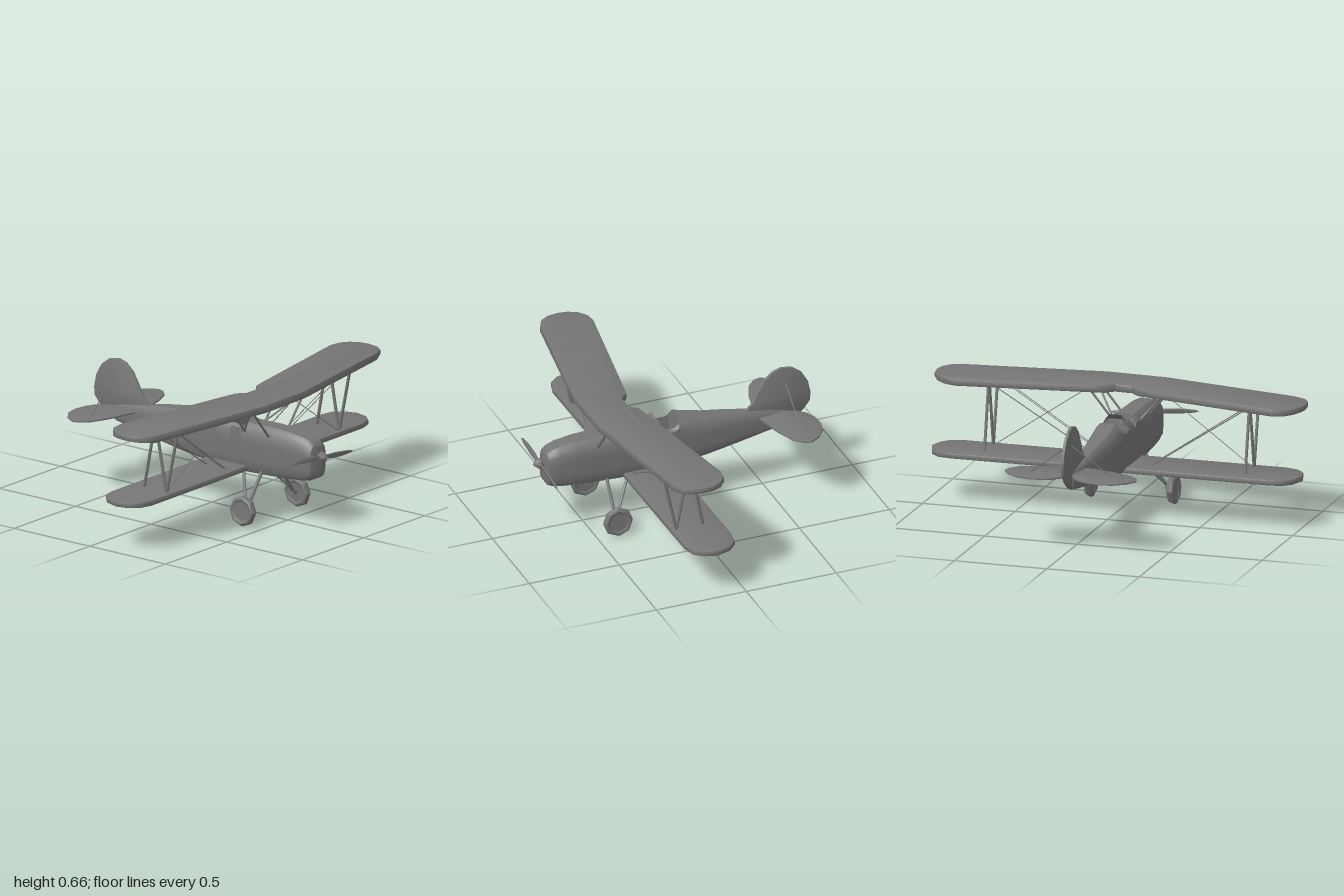
import * as THREE from 'three';
import { toCreasedNormals } from 'three/addons/utils/BufferGeometryUtils.js';

const mat = new THREE.MeshStandardMaterial({ color: 0x757575, side: THREE.DoubleSide });
const CX = -0.008; // centre line of the body

function add(parent, name, geometry) {
  const mesh = new THREE.Mesh(geometry, mat);
  mesh.name = name;
  parent.add(mesh);
  return mesh;
}

// Round bar between two points
function rod(parent, name, a, b, r) {
  const p = new THREE.Vector3(...a), q = new THREE.Vector3(...b);
  const mesh = add(parent, name, new THREE.CylinderGeometry(r, r, p.distanceTo(q), 8));
  mesh.position.copy(p).lerp(q, 0.5);
  mesh.quaternion.setFromUnitVectors(new THREE.Vector3(0, 1, 0), q.sub(p).normalize());
}

// Slab from an outline, with a small rounded edge; spans 0..t along its depth
function slab(points, t, bevel) {
  const shape = new THREE.Shape(points.map(p => new THREE.Vector2(...p)));
  const g = new THREE.ExtrudeGeometry(shape, {
    depth: t - 2 * bevel, bevelEnabled: true, bevelThickness: bevel,
    bevelSize: bevel, bevelOffset: -bevel, bevelSegments: 2,
  });
  return toCreasedNormals(g.translate(0, 0, bevel), 0.7);
}

// Flat horizontal outline (x, z), mirrored from its right half; top face at y = 0
function mirroredSlab(half, t, bevel) {
  const other = half.map(([x, z]) => [-x, z]).reverse();
  return slab([...half, ...other], t, bevel).rotateX(Math.PI / 2);
}

function buildFuselage() {
  // z, bottom, top, half width, cockpit floor (if open)
  const stations = [
    [0.715, 0.285, 0.43, 0.045], [0.705, 0.268, 0.452, 0.062], [0.68, 0.257, 0.468, 0.071],
    [0.64, 0.25, 0.481, 0.076], [0.54, 0.242, 0.494, 0.082], [0.42, 0.236, 0.498, 0.085],
    [0.27, 0.23, 0.495, 0.086], [0.262, 0.23, 0.488, 0.086, 0.4], [0.2, 0.228, 0.488, 0.086, 0.4],
    [0.192, 0.228, 0.495, 0.086], [0.1, 0.232, 0.505, 0.085], [0.088, 0.233, 0.485, 0.085, 0.37],
    [0.06, 0.235, 0.47, 0.084, 0.37], [0.01, 0.24, 0.472, 0.082, 0.37], [-0.008, 0.242, 0.485, 0.081, 0.37],
    [-0.016, 0.243, 0.517, 0.081], [-0.1, 0.252, 0.498, 0.077], [-0.17, 0.26, 0.482, 0.072],
    [-0.3, 0.278, 0.465, 0.058], [-0.42, 0.295, 0.445, 0.043], [-0.54, 0.312, 0.425, 0.026],
    [-0.625, 0.325, 0.41, 0.012],
  ];
  const pos = [], idx = [];
  let n = 0;
  stations.forEach(([z, b, t, w, floor]) => {
    const h = t - b;
    const top = floor ? [[0.97 * w, t - 0.015], [0.78 * w, t], [0.68 * w, floor], [0.3 * w, floor]]
      : [[0.95 * w, t - 0.18 * h], [0.72 * w, t - 0.06 * h], [0.5 * w, t], [0.2 * w, t]];
    const half = [[0.5 * w, b], [0.8 * w, b + 0.05 * h], [0.96 * w, b + 0.15 * h],
      [w, b + 0.3 * h], [w, b + 0.65 * h], ...top];
    const ring = [...half, ...half.map(([x, y]) => [-x, y]).reverse()];
    n = ring.length;
    ring.forEach(([x, y]) => pos.push(x + CX, y, z));
  });
  for (let i = 0; i < stations.length - 1; i++) {
    for (let j = 0; j < n; j++) {
      const a = i * n + j, b = i * n + (j + 1) % n;
      idx.push(a, a + n, b, b, a + n, b + n);
    }
  }
  // Nose and tail caps
  const last = (stations.length - 1) * n;
  for (let j = 1; j < n - 1; j++) idx.push(0, j, j + 1, last, last + j + 1, last + j);
  const g = new THREE.BufferGeometry();
  g.setAttribute('position', new THREE.Float32BufferAttribute(pos, 3));
  g.setIndex(idx);
  return toCreasedNormals(g, 0.6);
}

function buildWindscreen() {
  // Three angled panes around the front of the cockpit
  const base = [[-0.066, 0.475, 0.078], [-0.045, 0.495, 0.15], [0.045, 0.495, 0.15], [0.066, 0.475, 0.078]];
  const rim = [[-0.048, 0.513, 0.088], [-0.032, 0.534, 0.104], [0.032, 0.534, 0.104], [0.048, 0.513, 0.088]];
  const pos = [];
  for (let i = 0; i < 3; i++) {
    pos.push(...base[i], ...base[i + 1], ...rim[i + 1], ...base[i], ...rim[i + 1], ...rim[i]);
  }
  const g = new THREE.BufferGeometry();
  g.setAttribute('position', new THREE.Float32BufferAttribute(pos, 3));
  g.computeVertexNormals();
  return g.translate(CX, 0, 0);
}

function buildUpperWing() {
  const g = mirroredSlab([
    [0.045, 0.26], [0.085, 0.22], [0.17, 0.203], [0.86, 0.083], [0.92, 0.092], [0.965, 0.125], [0.992, 0.175],
    [1, 0.23], [0.99, 0.29], [0.96, 0.335], [0.9, 0.364], [0.16, 0.483],
  ], 0.043, 0.009);
  // Underside rises at the tips, and the whole wing leans slightly
  const p = g.attributes.position;
  for (let i = 0; i < p.count; i++) {
    const x = p.getX(i), y = p.getY(i);
    const tip = Math.max(0, Math.abs(x) - 0.88) / 0.12;
    p.setY(i, y * (1 - 0.3 * tip) + 0.01 * x);
  }
  return g.translate(0, 0.651, 0);
}

function buildLowerWing() {
  const g = mirroredSlab([
    [0.02, 0.03], [0.86, 0.03], [0.93, 0.042], [0.975, 0.085], [1, 0.165], [0.98, 0.235], [0.94, 0.28], [0.87, 0.3], [0.02, 0.3],
  ], 0.03, 0.007);
  // Slight skew across the span
  const p = g.attributes.position;
  for (let i = 0; i < p.count; i++) p.setZ(i, p.getZ(i) - 0.008 * p.getX(i));
  return g.translate(0, 0.275, 0);
}

function buildPropeller() {
  const prop = new THREE.Group();
  prop.name = 'propeller';
  const hub = [[0.018, -0.02], [0.02, 0.004], [0.029, 0.01], [0.029, 0.022], [0.018, 0.036], [0.009, 0.046], [0, 0.052]];
  add(prop, 'spinner', toCreasedNormals(
    new THREE.LatheGeometry(hub.map(p => new THREE.Vector2(...p)), 8).rotateX(Math.PI / 2), 0.6));
  for (const s of [0, 1]) {
    const blade = add(prop, 'blade', slab([
      [0.01, -0.009], [0.08, -0.017], [0.16, -0.016], [0.23, -0.007], [0.245, 0.002], [0.2, 0.009], [0.1, 0.013], [0.01, 0.009],
    ], 0.008, 0.002).translate(0, 0, -0.004).rotateX(0.3));
    blade.rotation.z = s * Math.PI - 0.09;
    blade.position.z = 0.017;
  }
  prop.position.set(CX, 0.385, 0.718);
  return prop;
}

function buildWheel(s) {
  const wheel = new THREE.Group();
  wheel.name = 'wheel';
  const tyre = [[0.05, -0.014], [0.066, -0.02], [0.076, -0.015], [0.082, 0], [0.076, 0.015], [0.066, 0.02], [0.05, 0.014]];
  add(wheel, 'tyre', toCreasedNormals(new THREE.LatheGeometry(tyre.map(p => new THREE.Vector2(...p)), 8), 0.7));
  add(wheel, 'hub', toCreasedNormals(new THREE.CylinderGeometry(0.053, 0.053, 0.022, 8), 0.5));
  wheel.rotation.set(0, 0, Math.PI / 2 + s * 0.05);
  wheel.position.set(CX + s * 0.222, 0.083, 0.39);
  return wheel;
}

export function createModel() {
  const model = new THREE.Group();
  model.name = 'biplane';
  add(model, 'fuselage', buildFuselage());
  add(model, 'windscreen', buildWindscreen());
  add(model, 'upperWing', buildUpperWing());
  add(model, 'lowerWing', buildLowerWing());
  model.add(buildPropeller());

  // Tail surfaces
  add(model, 'tailFin', slab([
    [-0.4, 0.44], [-0.45, 0.485], [-0.48, 0.545], [-0.515, 0.605], [-0.56, 0.645], [-0.61, 0.66], [-0.67, 0.648],
    [-0.72, 0.61], [-0.755, 0.55], [-0.77, 0.48], [-0.765, 0.435], [-0.73, 0.39], [-0.68, 0.35], [-0.62, 0.325],
  ], 0.016, 0.004).rotateY(-Math.PI / 2).translate(CX + 0.008, 0, 0));
  add(model, 'tailplane', mirroredSlab([
    [0.008, -0.63], [0.03, -0.68], [0.07, -0.72], [0.12, -0.743], [0.19, -0.75], [0.26, -0.735], [0.32, -0.69],
    [0.355, -0.635], [0.345, -0.595], [0.3, -0.55], [0.2, -0.51], [0.05, -0.475],
  ], 0.01, 0.003).translate(CX, 0.406, 0));

  // Wire ends that differ between the two sides
  const sides = [
    { s: -1, tailZ: [-0.61, -0.645], wireX: 0.18, rearZ: [0.12, 0.155] },
    { s: 1, tailZ: [-0.63, -0.63], wireX: 0.08, rearZ: [0.15, 0.19] },
  ];
  for (const { s, tailZ, wireX, rearZ } of sides) {
    const lean = 0.01 * s * 0.7;
    const at = (x, y, z) => [CX + s * x, y, z];
    rod(model, 'tailWire', at(0.22, 0.403, tailZ[0]), at(0, 0.57, tailZ[1]), 0.003);

    // N-shaped struts between the wings
    for (const [zTop, zLow] of [[0.345, 0.268], [0.2, 0.268], [0.19, 0.12]]) {
      rod(model, 'wingStrut', [s * 0.705, 0.625 + lean, zTop], [s * 0.705, 0.265, zLow], 0.008);
    }
    // Struts holding the centre of the upper wing
    for (const z of [0.44, 0.285]) rod(model, 'centreStrut', at(0.07, 0.45, z), at(0.21, 0.62, z), 0.006);
    rod(model, 'centreBrace', at(0.075, 0.47, 0.285), at(0.21, 0.62, 0.43), 0.005);

    // Bracing wires
    for (const z of [0.255, 0.275]) {
      rod(model, 'flyingWire', at(wireX, 0.265, z - 0.02), [s * 0.7, 0.615 + lean, z + 0.06], 0.002);
    }
    rod(model, 'landingWire', at(0.21, 0.61, 0.29), [s * 0.7, 0.27, 0.265], 0.002);
    rod(model, 'rearWire', at(wireX, 0.27, rearZ[0]), [s * 0.7, 0.615 + lean, rearZ[1]], 0.003);

    // Landing gear
    model.add(buildWheel(s));
    rod(model, 'frontLeg', at(0.06, 0.27, 0.39), at(0.19, 0.09, 0.39), 0.009);
    rod(model, 'rearLeg', at(0.08, 0.245, 0.28), at(0.195, 0.1, 0.385), 0.008);
    rod(model, 'axle', at(0.18, 0.092, 0.39), at(0.222, 0.083, 0.39), 0.011);
  }
  return model;
}
